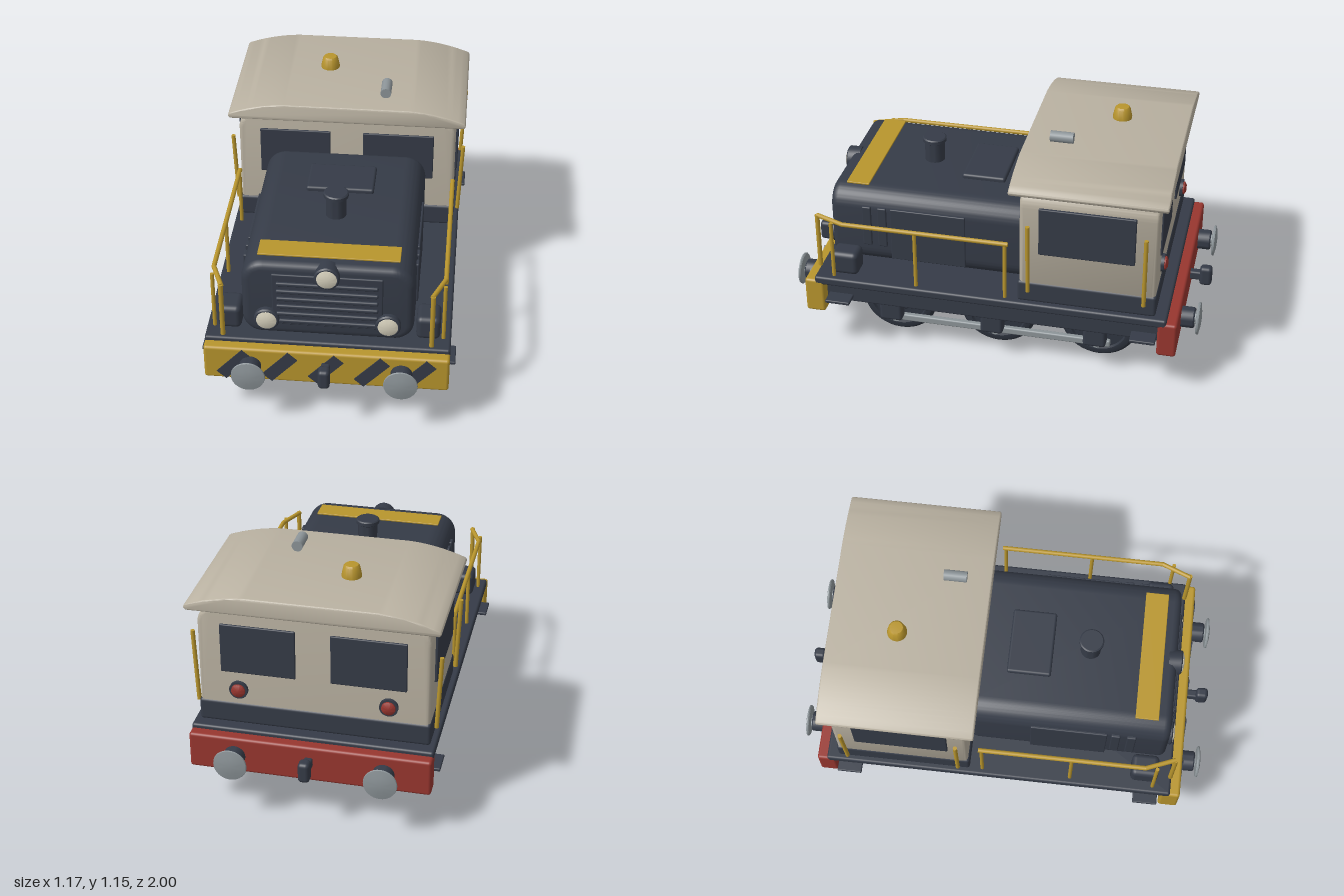
import * as THREE from 'three';
import { toCreasedNormals } from 'three/addons/utils/BufferGeometryUtils.js';
import { RoundedBoxGeometry } from 'three/addons/geometries/RoundedBoxGeometry.js';

const paint = (name, color) => {
  const m = new THREE.MeshStandardMaterial({ color });
  m.name = name;
  return m;
};

export function createModel() {
  const model = new THREE.Group();
  model.name = 'shunterLocomotive';
  const dark = paint('darkSlate', 0x353b47);
  const cream = paint('cream', 0xb8b0a0);
  const yellow = paint('yellow', 0xb8952d);
  const red = paint('red', 0x98362f);
  const steel = paint('steel', 0x8c9498);
  const lens = paint('lampLens', 0xd6d0bc);
  const black = paint('wheelDark', 0x2f3540);

  const add = (name, geo, mat, x = 0, y = 0, z = 0) => {
    const m = new THREE.Mesh(geo, mat);
    m.name = name;
    m.position.set(x, y, z);
    model.add(m);
    return m;
  };
  // box given by its limits, with softened edges
  const block = (name, mat, x0, x1, y0, y1, z0, z1, r = 0.01) => {
    const w = x1 - x0, h = y1 - y0, d = z1 - z0;
    const radius = Math.min(r, w * 0.45, h * 0.45, d * 0.45);
    add(name, new RoundedBoxGeometry(w, h, d, 3, radius), mat, (x0 + x1) / 2, (y0 + y1) / 2, (z0 + z1) / 2);
  };
  // mirrored pair of blocks
  const pair = (name, mat, x0, x1, ...rest) => {
    block(name + 'Left', mat, x0, x1, ...rest);
    block(name + 'Right', mat, -x1, -x0, ...rest);
  };
  // smooth lathe with sharp edges kept; profile is [radius, height] pairs going up
  const turned = (pts, sides = 32) => new THREE.LatheGeometry(pts.map(p => new THREE.Vector2(...p)), sides);
  // lathe turned along z, facing front (dir 1) or rear (dir -1)
  const turnedZ = (name, mat, pts, x, y, z, dir = 1) => {
    const g = turned(pts).rotateX(dir * Math.PI / 2);
    add(name, toCreasedNormals(g, 0.6), mat, x, y, z);
  };
  const rod = (name, mat, a, b, r) => {
    const va = new THREE.Vector3(...a), vb = new THREE.Vector3(...b);
    const m = add(name, new THREE.CylinderGeometry(r, r, va.distanceTo(vb), 14), mat);
    m.position.copy(va).lerp(vb, 0.5);
    m.quaternion.setFromUnitVectors(new THREE.Vector3(0, 1, 0), vb.clone().sub(va).normalize());
  };
  // shape extruded from z0 to z1 with bevelled ends
  const extrude = (name, mat, shape, z0, z1, bevel) => {
    const g = new THREE.ExtrudeGeometry(shape, {
      depth: z1 - z0 - 2 * bevel, bevelThickness: bevel, bevelSize: bevel,
      bevelOffset: -bevel, bevelSegments: 4, curveSegments: 10,
    });
    add(name, toCreasedNormals(g, 0.6), mat, 0, 0, z0 + bevel);
  };
  const roundRect = (w, y0, y1, rb, rt) => {
    const s = new THREE.Shape();
    s.moveTo(-w + rb, y0).lineTo(w - rb, y0);
    s.absarc(w - rb, y0 + rb, rb, -Math.PI / 2, 0);
    s.absarc(w - rt, y1 - rt, rt, 0, Math.PI / 2);
    s.absarc(-w + rt, y1 - rt, rt, Math.PI / 2, Math.PI);
    s.absarc(-w + rb, y0 + rb, rb, Math.PI, Math.PI * 1.5);
    return s;
  };

  // Underframe
  block('deck', dark, -0.56, 0.56, 0.38, 0.423, -0.845, 0.845, 0.012);
  pair('sideSill', dark, 0.41, 0.51, 0.27, 0.39, -0.81, 0.81);
  for (const z of [0.73, -0.74]) pair('step', dark, 0.49, 0.585, 0.296, 0.312, z - 0.06, z + 0.06, 0.005);

  // End beams with hazard stripes on the front one
  block('frontBeam', yellow, -0.56, 0.56, 0.225, 0.403, 0.8, 0.895, 0.014);
  block('rearBeam', red, -0.56, 0.56, 0.225, 0.403, -0.895, -0.805, 0.014);
  for (let i = -2; i <= 2; i++) {
    const s = add('beamStripe', new THREE.BoxGeometry(0.06, 0.175, 0.008), dark, i * 0.21, 0.3125, 0.896);
    s.rotation.z = -0.74;
  }

  // Bumpers and couplers at both ends
  for (const e of [1, -1]) {
    for (const x of [-0.345, 0.345]) {
      turnedZ('bumperShank', dark, [[0, -0.02], [0.05, -0.02], [0.05, 0.062], [0.045, 0.068], [0, 0.068]], x, 0.313, e * 0.89, e);
      turnedZ('bumperHead', steel, [[0, 0.05], [0.03, 0.05], [0.03, 0.074], [0.073, 0.078], [0.078, 0.084],
        [0.076, 0.09], [0.04, 0.097], [0, 0.1]], x, 0.313, e * 0.89, e);
    }
    const z = e * 0.97;
    block('couplerHook', dark, -0.027, 0.027, 0.28, 0.38, z - 0.03, z + 0.03, 0.018);
    block('couplerShank', dark, -0.02, 0.02, 0.305, 0.35, e * 0.915 - 0.04, e * 0.915 + 0.04, 0.01);
  }

  // Wheels, axles, axle boxes and side rods
  const wheelProfile = [[0, -0.045], [0.05, -0.045], [0.1, -0.04], [0.145, -0.028], [0.17, -0.02], [0.187, 0],
    [0.17, 0.02], [0.15, 0.027], [0.14, 0.027], [0.135, 0.014], [0.07, 0.014], [0.06, 0.03], [0, 0.03]];
  for (const z of [-0.5, 0, 0.5]) {
    for (const s of [1, -1]) {
      const g = turned(wheelProfile, 40).rotateZ(-s * Math.PI / 2);
      add('wheel', toCreasedNormals(g, 0.5), black, s * 0.303, 0.187, z);
      const rodX = s > 0 ? 0.375 : -0.36;
      rod('crankPin', steel, [s * 0.32, 0.122, z], [rodX + s * 0.022, 0.122, z], 0.022);
    }
    block('crankArm', steel, 0.33, 0.36, 0.1, 0.22, z - 0.025, z + 0.025, 0.01);
    rod('axle', dark, [-0.28, 0.19, z], [0.28, 0.19, z], 0.03);
    pair('axleBox', dark, 0.407, 0.475, 0.16, 0.29, z - 0.055, z + 0.055, 0.016);
  }
  block('sideRodLeft', steel, 0.36, 0.388, 0.104, 0.14, -0.565, 0.565, 0.008);
  block('sideRodRight', steel, -0.374, -0.346, 0.104, 0.14, -0.565, 0.565, 0.008);

  // Hood
  extrude('hood', dark, roundRect(0.39, 0.425, 0.82, 0.09, 0.1), -0.15, 0.8, 0.035);
  block('radiatorPanel', dark, -0.25, 0.25, 0.49, 0.77, 0.79, 0.808, 0.006);
  for (let i = 0; i < 6; i++) {
    const y = 0.515 + i * 0.0415;
    block('radiatorSlat', dark, -0.23, 0.23, y - 0.01, y + 0.01, 0.8, 0.82, 0.008);
  }
  pair('sidePanel', dark, 0.38, 0.397, 0.47, 0.745, 0.14, 0.505, 0.005);
  for (const z of [0.545, 0.62]) pair('hoodLouvre', dark, 0.38, 0.4, 0.535, 0.745, z - 0.022, z + 0.022, 0.006);
  block('roofHatch', dark, -0.16, 0.16, 0.81, 0.842, 0, 0.21, 0.012);
  block('noseStripe', yellow, -0.32, 0.32, 0.819, 0.828, 0.625, 0.735, 0.003);
  const stack = [[0.048, 0.8], [0.048, 0.915], [0.058, 0.922], [0.058, 0.938], [0.052, 0.943], [0, 0.943]];
  add('exhaustStack', toCreasedNormals(turned(stack), 0.6), dark, 0, 0, 0.385);
  pair('sandbox', dark, 0.4, 0.51, 0.42, 0.538, 0.642, 0.775, 0.025);

  // Headlamps
  for (const [x, y] of [[0, 0.772], [-0.275, 0.523], [0.275, 0.523]]) {
    turnedZ('headlampRim', dark, [[0, -0.04], [0.058, -0.04], [0.058, 0.02], [0.052, 0.026], [0, 0.026]], x, y, 0.8);
    turnedZ('headlampLens', lens, [[0.047, 0.02], [0.046, 0.029], [0.03, 0.035], [0, 0.038]], x, y, 0.8);
  }

  // Cab
  extrude('cabBody', cream, roundRect(0.53, 0.5, 1.01, 0.01, 0.085), -0.785, -0.148, 0.02);
  block('cabBase', dark, -0.535, 0.535, 0.42, 0.53, -0.79, -0.14, 0.015);
  for (const z of [-0.148, -0.785]) pair('endWindow', dark, 0.08, 0.425, 0.69, 0.932, z - 0.009, z + 0.009, 0.005);
  pair('sideWindow', dark, 0.525, 0.542, 0.692, 0.935, -0.685, -0.24, 0.005);
  const roof = new THREE.Shape();
  roof.moveTo(-0.565, 1.005).lineTo(0.565, 1.005);
  roof.quadraticCurveTo(0.585, 1.02, 0.565, 1.034);
  roof.quadraticCurveTo(0.43, 1.085, 0.3, 1.09);
  roof.lineTo(-0.3, 1.09);
  roof.quadraticCurveTo(-0.43, 1.085, -0.565, 1.034);
  roof.quadraticCurveTo(-0.585, 1.02, -0.565, 1.005);
  extrude('cabRoof', cream, roof, -0.828, -0.105, 0.008);

  // Roof fittings
  const beacon = [[0.046, 1.08], [0.046, 1.098], [0.037, 1.14], [0.03, 1.148], [0, 1.15]];
  add('beacon', toCreasedNormals(turned(beacon), 0.6), yellow, -0.115, 0, -0.51);
  rod('horn', steel, [0.182, 1.115, -0.33], [0.182, 1.115, -0.222], 0.026);

  // Tail lamps
  for (const x of [-0.345, 0.345]) {
    turnedZ('tailLampRim', dark, [[0, -0.01], [0.043, -0.01], [0.043, 0.015], [0, 0.015]], x, 0.602, -0.785, -1);
    turnedZ('tailLampLens', red, [[0.033, 0.012], [0.032, 0.022], [0.018, 0.03], [0, 0.032]], x, 0.602, -0.785, -1);
  }

  // Handrails on both sides
  for (const s of [1, -1]) {
    for (const z of [-0.195, -0.735]) rod('cabGrabRail', yellow, [s * 0.553, 0.49, z], [s * 0.568, 0.852, z], 0.01);
    for (const z of [-0.08, 0.35, 0.755]) rod('railPost', yellow, [s * 0.525, 0.42, z], [s * 0.525, 0.716, z], 0.009);
    rod('frontRailPost', yellow, [s * 0.474, 0.44, 0.838], [s * 0.474, 0.72, 0.838], 0.011);
    const knots = [[-0.095, 0.525], [0.7, 0.525], [0.838, 0.47]].map(([z, x]) => [s * x, 0.716, z]);
    for (let i = 0; i < 2; i++) rod('handrail', yellow, knots[i], knots[i + 1], 0.011);
    add('railJoint', new THREE.SphereGeometry(0.011, 12, 8), yellow, ...knots[1]);
  }
  return model;
}
